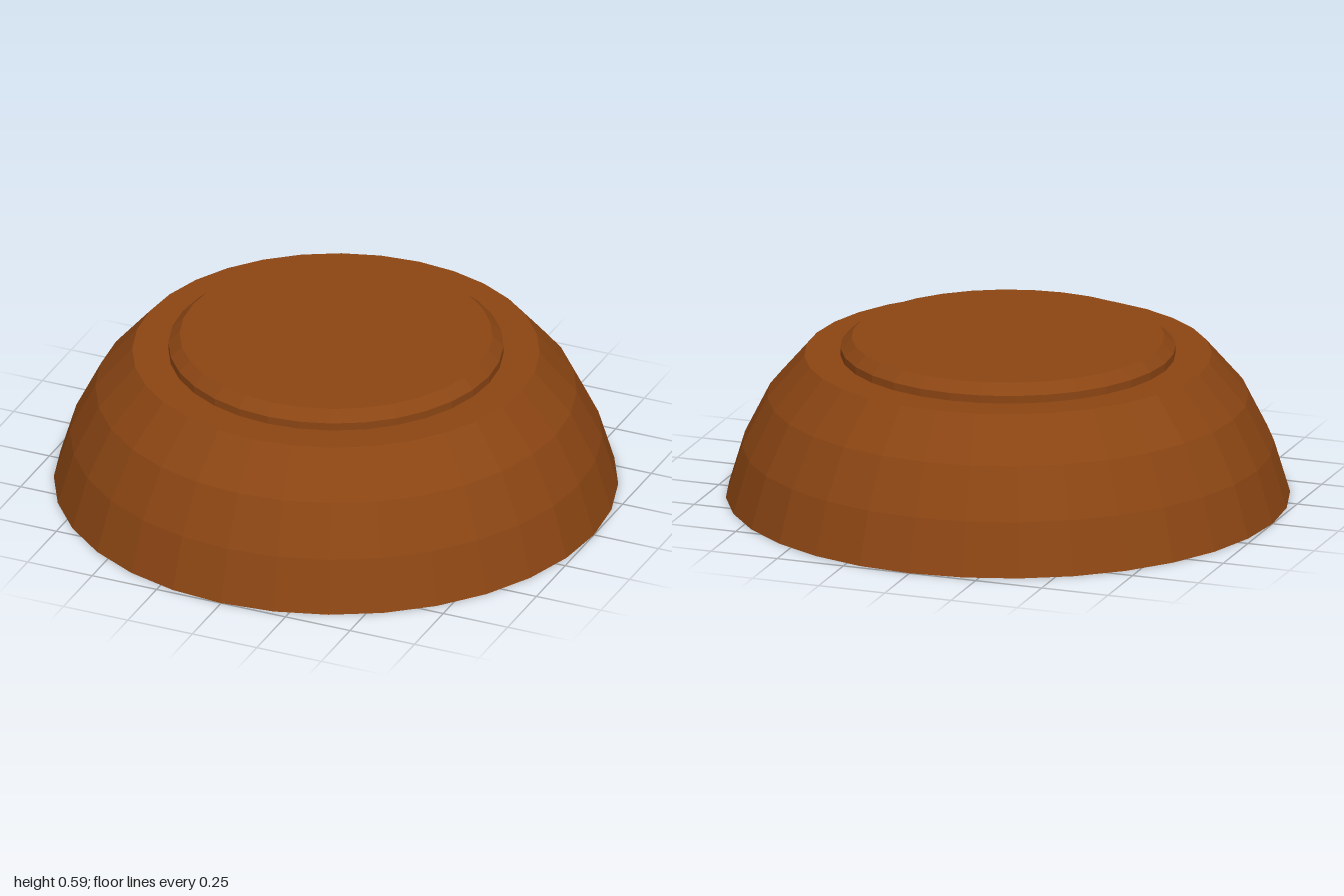
import * as THREE from 'three';

const SIDES = 32;

// Faceted solid of revolution from [radius, height] pairs, bottom to top
function turned(name, profile, material) {
  const points = profile.map(([r, y]) => new THREE.Vector2(r, y));
  const mesh = new THREE.Mesh(new THREE.LatheGeometry(points, SIDES), material);
  mesh.name = name;
  return mesh;
}

export function createModel() {
  const group = new THREE.Group();
  group.name = 'upturnedBowl';
  const wood = new THREE.MeshStandardMaterial({ color: 0x8b4513, flatShading: true });

  // Domed body with a flat underside and a flat shoulder
  group.add(turned('bowlBody', [
    [0, 0], [1, 0], [0.943, 0.19], [0.853, 0.37], [0.722, 0.522], [0, 0.522],
  ], wood));

  // Raised foot with a bevelled edge
  group.add(turned('foot', [
    [0.594, 0.522], [0.594, 0.55], [0.554, 0.587], [0, 0.587],
  ], wood));

  return group;
}
